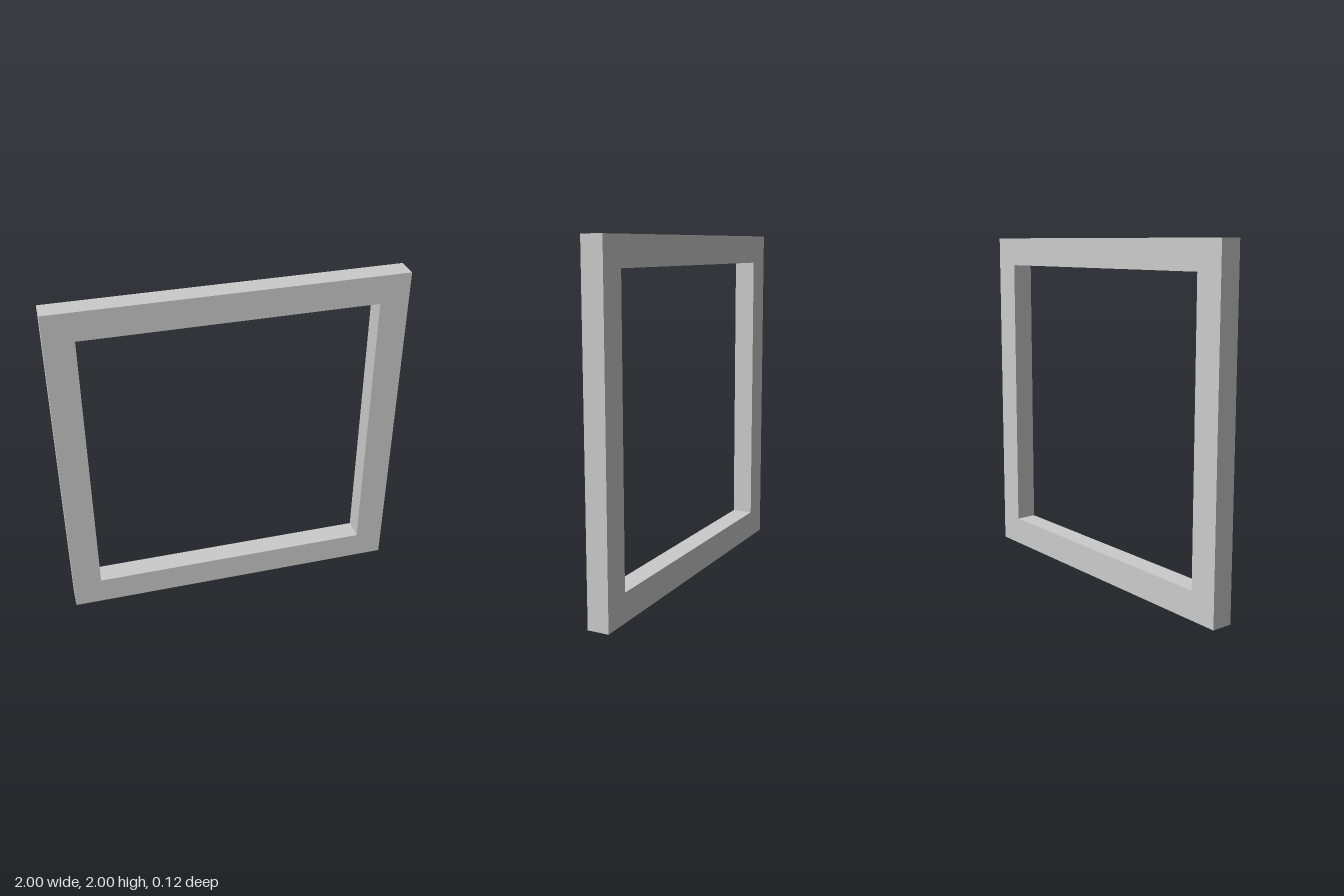
import * as THREE from 'three';

const SIZE = 2;       // outer width and height
const BAR = 0.167;    // width of each frame bar
const DEPTH = 0.125;  // front to back

// Adds a centred square outline to a Shape or Path
function square(path, half) {
  path.moveTo(-half, -half);
  path.lineTo(half, -half);
  path.lineTo(half, half);
  path.lineTo(-half, half);
  path.closePath();
  return path;
}

export function createModel() {
  const model = new THREE.Group();
  model.name = 'squareFrame';

  // Square frame with one square opening
  const outline = square(new THREE.Shape(), SIZE / 2);
  outline.holes.push(square(new THREE.Path(), SIZE / 2 - BAR));
  const geometry = new THREE.ExtrudeGeometry(outline, { depth: DEPTH, bevelEnabled: false });
  geometry.translate(0, SIZE / 2, -DEPTH / 2);

  const frame = new THREE.Mesh(
    geometry,
    new THREE.MeshStandardMaterial({ color: 0xcccccc, flatShading: true })
  );
  frame.name = 'frame';
  model.add(frame);
  return model;
}
